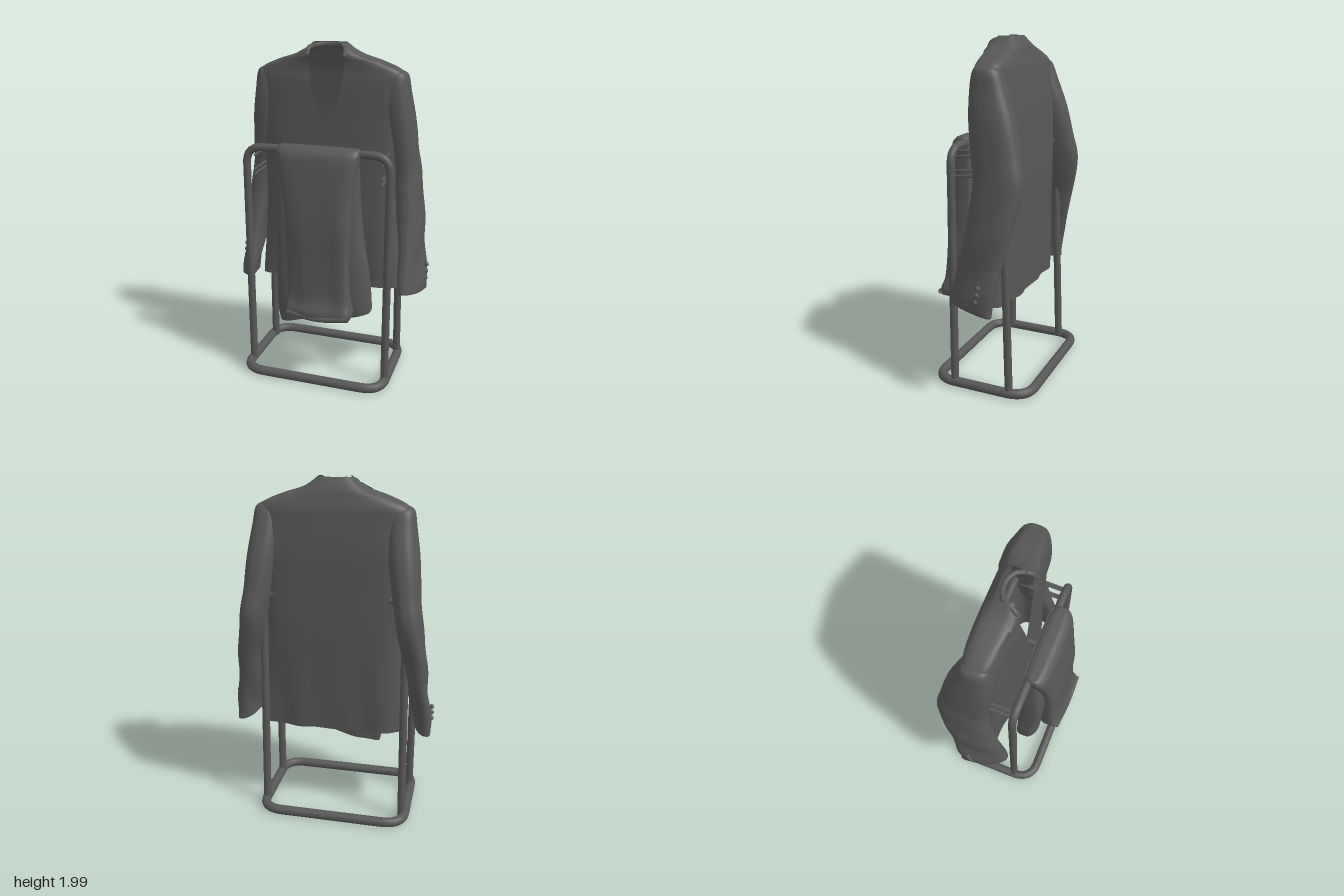
import * as THREE from 'three';

const mat = new THREE.MeshStandardMaterial({ color: 0x575757, side: THREE.DoubleSide });
mat.name = 'charcoal grey';

const mesh = (name, geometry, parent) => {
  const m = new THREE.Mesh(geometry, mat);
  m.name = name;
  parent.add(m);
  return m;
};

// Catmull-Rom blend of table rows, t from 0 to 1
function sample(rows, t) {
  const f = t * (rows.length - 1), i = Math.min(Math.floor(f), rows.length - 2), u = f - i;
  const at = k => rows[Math.max(0, Math.min(rows.length - 1, k))];
  const [a, b, c, d] = [at(i - 1), at(i), at(i + 1), at(i + 2)];
  return b.map((p, k) => p + 0.5 * u * (c[k] - a[k] + u * (2 * a[k] - 5 * p + 4 * c[k] - d[k] + u * (3 * (p - c[k]) + d[k] - a[k]))));
}

// Surface through boxy cross-sections, listed from top to bottom.
// Row: [y, xMin, xMax, zBack, zFront, extra]; range(row) gives start and end angles.
function loft(rows, { e = 0.6, n = 56, steps = 48, range, caps = false, warp } = {}) {
  const pos = [], idx = [], closed = !range;
  const rings = [];
  for (let i = 0; i <= steps; i++) rings.push([sample(rows, i / steps), 1]);
  if (caps) { rings.unshift([rings[0][0], 0]); rings.push([rings[rings.length - 1][0], 0]); }
  const pw = v => Math.sign(v) * Math.abs(v) ** e;
  const cols = closed ? n : n + 1;
  for (const [r, s] of rings) {
    const [a0, a1] = closed ? [0, Math.PI * 2] : range(r, e);
    const [y, x0, x1, z0, z1] = r;
    for (let j = 0; j < cols; j++) {
      const th = a0 + (a1 - a0) * j / n;
      const p = new THREE.Vector3((x0 + x1) / 2 + s * (x1 - x0) / 2 * pw(Math.sin(th)), y,
        (z0 + z1) / 2 + s * (z1 - z0) / 2 * pw(Math.cos(th)));
      if (warp) warp(p, r);
      pos.push(p.x, p.y, p.z);
    }
  }
  for (let i = 0; i < rings.length - 1; i++) for (let j = 0; j < n; j++) {
    const k = closed ? (j + 1) % n : j + 1;
    const a = i * cols + j, b = a + cols, c = (i + 1) * cols + k, d = i * cols + k;
    idx.push(a, b, c, a, c, d);
  }
  const g = new THREE.BufferGeometry();
  g.setAttribute('position', new THREE.Float32BufferAttribute(pos, 3));
  g.setIndex(idx);
  g.computeVertexNormals();
  return g;
}

// Tube along straight runs with rounded corners
function pipe(points, radius, bend = 0.1, closed = false) {
  const v = points.map(p => new THREE.Vector3(...p)), path = new THREE.CurvePath(), n = v.length;
  const toward = (a, b) => a.clone().add(b.clone().sub(a).setLength(bend));
  let last = closed ? toward(v[0], v[1]) : v[0];
  for (let i = 1; i < (closed ? n + 1 : n - 1); i++) {
    const c = v[i % n], from = toward(c, v[i - 1]), to = toward(c, v[(i + 1) % n]);
    path.add(new THREE.LineCurve3(last, from));
    path.add(new THREE.QuadraticBezierCurve3(from, c, to));
    last = to;
  }
  if (!closed) path.add(new THREE.LineCurve3(last, v[n - 1]));
  return new THREE.TubeGeometry(path, n > 2 ? 160 : 2, radius, 14, closed);
}

function buildStand(parent) {
  mesh('baseRing', pipe([[-0.46, 0.035, 0.255], [0.405, 0.035, 0.255], [0.405, 0.035, -0.325], [-0.46, 0.035, -0.325]], 0.028, 0.13, true), parent);
  mesh('frontFrame', pipe([[-0.45, 0.03, 0.128], [-0.45, 1.42, 0.128], [0.4, 1.42, 0.128], [0.4, 0.03, 0.128]], 0.023, 0.1), parent);
  mesh('backFrame', pipe([[-0.44, 0.03, -0.215], [-0.42, 1.36, -0.17], [0.39, 1.36, -0.17], [0.4, 0.03, -0.215]], 0.023, 0.1), parent);
  // thin rungs joining the two frames
  for (const x of [-0.4, 0.36]) for (const y of [1.41, 1.38, 1.3, 1.27])
    mesh('rung', pipe([[x, y - 0.01, 0.128], [x, y, -0.15]], 0.007), parent);
  mesh('centreStrut', pipe([[0, 1.4, 0.128], [0, 1.4, -0.05]], 0.018), parent);
}

function buildJacket(parent) {
  // body: last number is half the width of the neck opening
  const body = [
    [2.0, -0.095, 0.095, -0.105, 0.0, 0.075],
    [1.965, -0.14, 0.14, -0.13, 0.025, 0.105],
    [1.935, -0.2, 0.2, -0.145, 0.03, 0.108],
    [1.9, -0.31, 0.31, -0.155, 0.022, 0.105],
    [1.85, -0.41, 0.41, -0.17, 0.02, 0.1],
    [1.78, -0.42, 0.42, -0.18, 0.028, 0.09],
    [1.6, -0.42, 0.42, -0.2, 0.03, 0.045],
    [1.42, -0.41, 0.41, -0.205, 0.032, 0],
    [1.2, -0.4, 0.4, -0.21, 0.03, 0],
    [0.9, -0.41, 0.41, -0.2, 0.025, 0],
    [0.57, -0.44, 0.44, -0.19, 0.01, 0]];
  const angleOf = (x, r, e) => Math.asin(Math.min(1, Math.max(0, x) / r[2]) ** (1 / e));
  const hem = p => {
    const k = THREE.MathUtils.smoothstep(1.2 - p.y, 0, 0.6);
    p.z += 0.008 * k * Math.sin(p.x * 26);
    p.y += 0.15 * k * (p.z + 0.06);
  };
  mesh('jacketBody', loft(body, {
    e: 0.55, n: 96, steps: 80, warp: hem,
    range: (r, e) => { const a = angleOf(r[5], r, e); return [a, Math.PI * 2 - a]; }
  }), parent);

  // folded lapels lying along the opening
  for (const s of [1, -1]) mesh(s > 0 ? 'leftLapel' : 'rightLapel', loft(body.slice(1, 8), {
    e: 0.55, n: 10, steps: 40, warp: p => { p.z += 0.01; p.x += s * 0.002; },
    range: (r, e) => {
      const t = THREE.MathUtils.clamp((r[0] - 1.42) / 0.35, 0, 1);
      const wide = Math.min(r[5] + 0.015 + 0.07 * t, r[2] * 0.97);
      const a = angleOf(r[5], r, e), b = angleOf(wide, r, e);
      return s > 0 ? [a, b] : [-b, -a];
    }
  }), parent);

  // rolled collar around the neck
  const collar = new THREE.CatmullRomCurve3([[-0.11, 1.94, 0.03], [-0.105, 1.97, 0.01], [-0.07, 1.985, -0.06], [0, 1.985, -0.085],
    [0.07, 1.985, -0.06], [0.105, 1.97, 0.01], [0.11, 1.94, 0.03]].map(p => new THREE.Vector3(...p)));
  mesh('collar', new THREE.TubeGeometry(collar, 40, 0.014, 10), parent);

  // sleeves: last number turns the cuff inward at the front
  const sleeve = [
    [1.855, 0.35, 0.41, -0.12, -0.03, 0],
    [1.83, 0.31, 0.44, -0.155, -0.005, 0],
    [1.74, 0.3, 0.455, -0.19, 0.01, 0],
    [1.58, 0.31, 0.48, -0.245, 0.01, 0],
    [1.4, 0.34, 0.495, -0.285, -0.01, 0.02],
    [1.24, 0.365, 0.515, -0.31, -0.025, 0.05],
    [1.0, 0.41, 0.545, -0.26, 0.005, 0.1],
    [0.8, 0.44, 0.555, -0.215, 0.05, 0.2],
    [0.64, 0.465, 0.57, -0.185, 0.09, 0.27],
    [0.575, 0.475, 0.57, -0.18, 0.1, 0.3]];
  const turn = (p, r) => {
    p.x -= r[5] * (p.z - (r[3] + r[4]) / 2);
    p.y += 0.5 * r[5] * (p.z + 0.04);
    p.x += 0.006 * Math.sin(p.y * 24 + p.z * 18) * Math.min(1, Math.max(0, 1.6 - p.y));
  };
  for (const s of [1, -1]) {
    const g = new THREE.Group();
    g.name = s > 0 ? 'leftSleeve' : 'rightSleeve';
    g.scale.x = s;
    mesh('sleeveCloth', loft(sleeve, { e: 0.8, caps: true, warp: turn }), g);
    for (let i = 0; i < 3; i++) {
      const b = mesh('cuffButton', new THREE.SphereGeometry(0.014, 12, 8), g);
      b.position.set(0.583, 0.64 + i * 0.04, -0.1 - i * 0.008);
    }
    parent.add(g);
  }
}

function buildTrousers(parent) {
  const ripple = amount => p => {
    const k = THREE.MathUtils.clamp(1.35 - p.y, 0, 0.8);
    p.z += amount * k * Math.sin(p.x * 30 + p.y * 3);
  };
  // front legs hanging from the rail
  mesh('trouserFront', loft([
    [1.455, -0.225, 0.225, 0.13, 0.18, 0],
    [1.44, -0.238, 0.236, 0.1, 0.21, 0],
    [1.39, -0.235, 0.235, 0.1, 0.237, 0],
    [1.2, -0.195, 0.212, 0.14, 0.265, 0],
    [1.0, -0.175, 0.205, 0.16, 0.285, 0],
    [0.8, -0.165, 0.198, 0.17, 0.288, 0],
    [0.6, -0.163, 0.212, 0.18, 0.3, 0],
    [0.52, -0.167, 0.23, 0.18, 0.325, 0],
    [0.48, -0.155, 0.22, 0.19, 0.325, 0]], { e: 0.5, caps: true, warp: ripple(0.008) }), parent);
  // waist side hanging behind, with a slanted lower edge
  const wave = ripple(0.012);
  mesh('trouserBack', loft([
    [1.44, -0.22, 0.22, 0.09, 0.18, 0],
    [1.3, -0.225, 0.23, 0.085, 0.2, 0],
    [1.1, -0.25, 0.24, 0.075, 0.22, 0],
    [0.9, -0.255, 0.26, 0.06, 0.225, 0],
    [0.7, -0.262, 0.288, 0.05, 0.215, 0],
    [0.5, -0.268, 0.302, 0.045, 0.2, 0],
    [0.41, -0.255, 0.305, 0.05, 0.185, 0]], {
    e: 0.5, caps: true,
    warp: p => { wave(p); p.y += 0.22 * p.x * THREE.MathUtils.clamp((0.8 - p.y) / 0.4, 0, 1); }
  }), parent);
  // turned cuff edge
  mesh('trouserCuff', pipe([[-0.15, 0.495, 0.305], [0.04, 0.475, 0.32], [0.22, 0.5, 0.315]], 0.016, 0.08), parent);
}

export function createModel() {
  const model = new THREE.Group();
  model.name = 'clothesValet';
  for (const [name, build] of [['stand', buildStand], ['jacket', buildJacket], ['trousers', buildTrousers]]) {
    const part = new THREE.Group();
    part.name = name;
    build(part);
    model.add(part);
  }
  return model;
}
